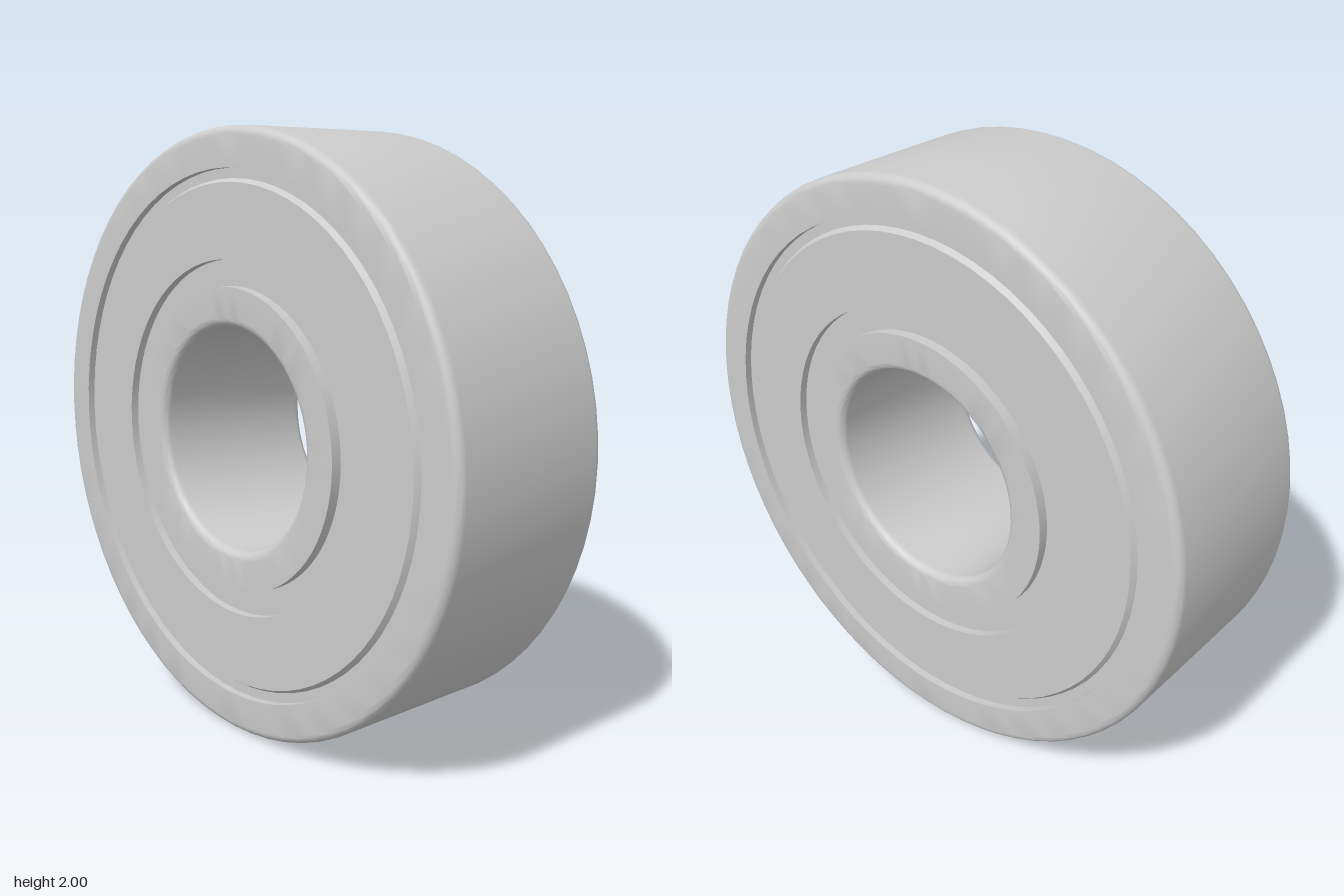
import * as THREE from 'three';
import { toCreasedNormals } from 'three/addons/utils/BufferGeometryUtils.js';

const SEGMENTS = 72;
const HALF_WIDTH = 0.315;
const FILLET = 0.03;

const material = new THREE.MeshStandardMaterial({ color: 0xcccccc });

// Revolve a closed counter-clockwise [radius, offset] profile around the x axis
function revolve(name, profile) {
  const points = [...profile, profile[0]].map(([r, h]) => new THREE.Vector2(r, h));
  const geometry = toCreasedNormals(new THREE.LatheGeometry(points, SEGMENTS), 0.6);
  geometry.rotateZ(-Math.PI / 2);
  const mesh = new THREE.Mesh(geometry, material);
  mesh.name = name;
  return mesh;
}

// Quarter-round corner of a profile, starting at the given angle
function corner(r, h, start) {
  return Array.from({ length: 7 }, (_, i) => {
    const a = start + (i / 6) * (Math.PI / 2);
    return [r + FILLET * Math.cos(a), h + FILLET * Math.sin(a)];
  });
}

export function createModel() {
  const model = new THREE.Group();
  model.name = 'ballBearing';
  const bearing = new THREE.Group();
  bearing.name = 'bearing';
  bearing.position.y = 1;
  model.add(bearing);

  const h = HALF_WIDTH;
  const c = h - FILLET;

  // Outer race, rounded on its outside edges
  bearing.add(revolve('outerRing', [
    [0.87, -h],
    ...corner(1 - FILLET, -c, -Math.PI / 2),
    ...corner(1 - FILLET, c, 0),
    [0.87, h],
  ]));

  // Inner race, rounded on its bore edges
  bearing.add(revolve('innerRing', [
    [0.5, -h],
    [0.5, h],
    ...corner(0.37 + FILLET, c, Math.PI / 2),
    ...corner(0.37 + FILLET, -c, Math.PI),
  ]));

  // Stepped dust shields closing the gap on both sides
  for (const side of [1, -1]) {
    const shield = revolve(side > 0 ? 'leftShield' : 'rightShield', [
      [0.5, 0.25],
      [0.87, 0.25],
      [0.87, 0.29],
      [0.838, 0.29],
      [0.826, 0.308],
      [0.585, 0.308],
      [0.585, 0.28],
      [0.5, 0.28],
    ]);
    if (side < 0) shield.rotation.y = Math.PI;
    bearing.add(shield);
  }

  return model;
}
